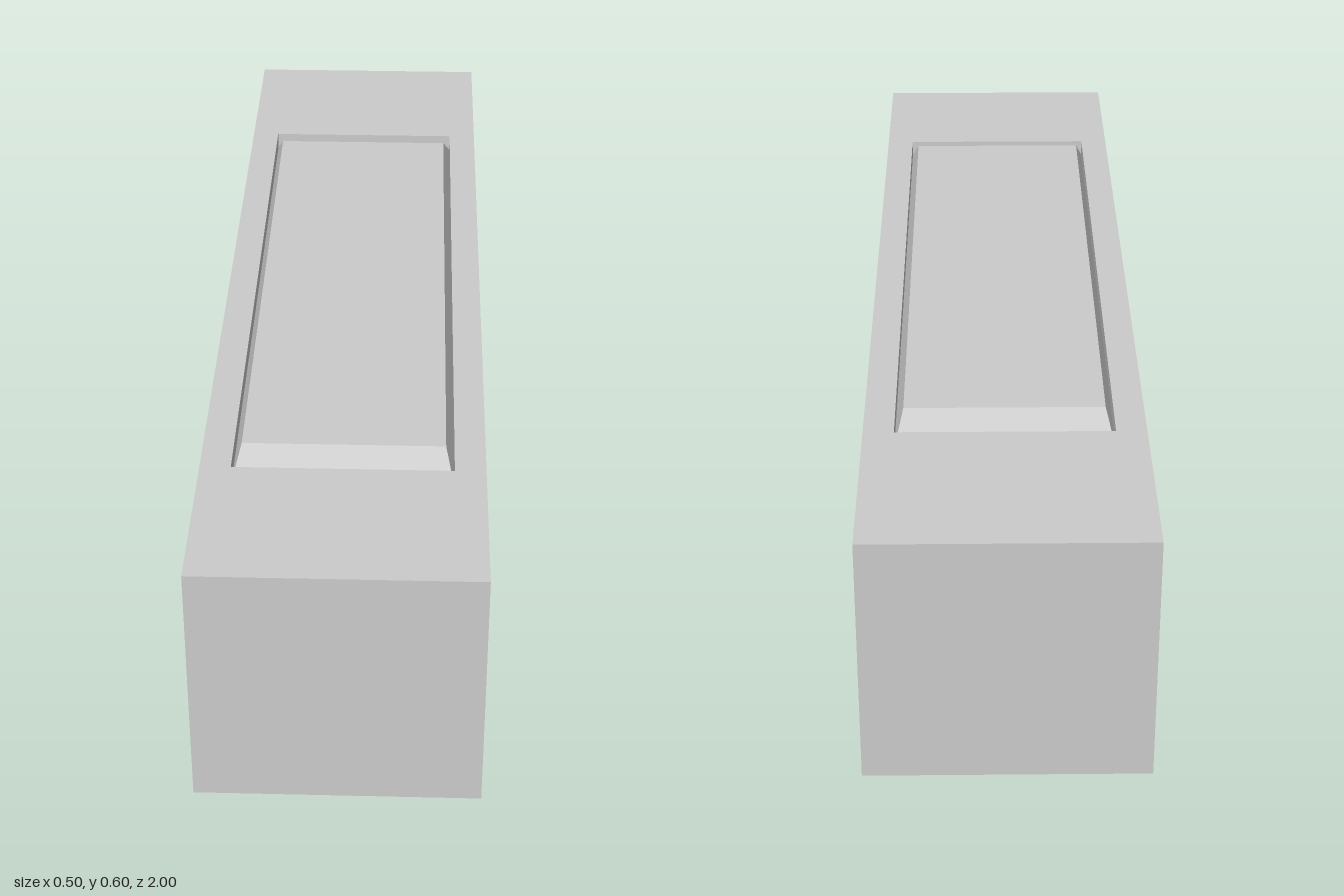
import * as THREE from 'three';

const material = new THREE.MeshStandardMaterial({ color: 0xcccccc, flatShading: true, side: THREE.DoubleSide });

// Body extents, wheel and well sizes
const HALF_W = 0.25, BOTTOM = 0.115, TOP = 0.588, HALF_L = 1;
const WHEEL_R = 0.112, WELL_R = 0.116, WELL_X = 0.16;
const AXLES = [0.644, -0.65];
// Roof recess
const RECESS = { halfW: 0.195, back: -0.643, front: 0.688, floor: 0.555 };

function add(parent, name, geometry, x = 0, y = 0, z = 0) {
  const mesh = new THREE.Mesh(geometry, material);
  mesh.name = name;
  mesh.position.set(x, y, z);
  parent.add(mesh);
  return mesh;
}

// Box that keeps only some faces (order: +x, -x, +y, -y, +z, -z)
function partialBox(w, h, d, keep) {
  const geometry = new THREE.BoxGeometry(w, h, d);
  const index = Array.from(geometry.index.array);
  geometry.setIndex(keep.flatMap((f) => index.slice(f * 6, f * 6 + 6)));
  geometry.clearGroups();
  return geometry;
}

// Side wall outline in (z, y) with an arch over each wheel
function sideWall() {
  const shape = new THREE.Shape();
  shape.moveTo(HALF_L, TOP);
  shape.lineTo(HALF_L, BOTTOM);
  for (const z of AXLES) {
    for (let i = 0; i <= 6; i++) {
      const a = (i * Math.PI) / 6;
      shape.lineTo(z + WELL_R * Math.cos(a), BOTTOM + WELL_R * Math.sin(a));
    }
  }
  shape.lineTo(-HALF_L, BOTTOM);
  shape.lineTo(-HALF_L, TOP);
  return new THREE.ShapeGeometry(shape).rotateY(-Math.PI / 2);
}

// Underside outline in (x, z) with a notch at each wheel
function underside() {
  const shape = new THREE.Shape();
  shape.moveTo(-HALF_W, HALF_L);
  for (const s of [1, -1]) {
    shape.lineTo(s * HALF_W, s * HALF_L);
    for (const z of s > 0 ? AXLES : [...AXLES].reverse()) {
      shape.lineTo(s * HALF_W, z + s * WELL_R);
      shape.lineTo(s * WELL_X, z + s * WELL_R);
      shape.lineTo(s * WELL_X, z - s * WELL_R);
      shape.lineTo(s * HALF_W, z - s * WELL_R);
    }
    shape.lineTo(s * HALF_W, -s * HALF_L);
  }
  return new THREE.ShapeGeometry(shape).rotateX(Math.PI / 2);
}

// Roof sheet with the rectangular recess opening
function roof() {
  const rect = (path, w, z0, z1) =>
    path.moveTo(-w, z0).lineTo(w, z0).lineTo(w, z1).lineTo(-w, z1).closePath();
  const shape = rect(new THREE.Shape(), HALF_W, -HALF_L, HALF_L);
  shape.holes.push(rect(new THREE.Path(), RECESS.halfW, RECESS.back, RECESS.front));
  return new THREE.ShapeGeometry(shape).rotateX(Math.PI / 2);
}

// Raised roof panel with sloping edges that run down into the recess
function roofPanel() {
  const height = 0.601 - RECESS.floor;
  const geometry = new THREE.BoxGeometry(1, height, 1);
  const p = geometry.attributes.position;
  for (let i = 0; i < p.count; i++) {
    const up = p.getY(i) > 0;
    const front = p.getZ(i) > 0;
    p.setX(i, Math.sign(p.getX(i)) * (up ? 0.18 : RECESS.halfW));
    p.setZ(i, up ? (front ? 0.632 : -0.58) : front ? RECESS.front : RECESS.back);
  }
  geometry.computeVertexNormals();
  return geometry.translate(0, RECESS.floor + height / 2, 0);
}

export function createModel() {
  const model = new THREE.Group();
  model.name = 'bus';

  // Body shell
  const body = new THREE.Group();
  body.name = 'body';
  model.add(body);
  const midY = (TOP + BOTTOM) / 2;
  add(body, 'endWalls', partialBox(2 * HALF_W, TOP - BOTTOM, 2 * HALF_L, [4, 5]), 0, midY, 0);
  add(body, 'underside', underside(), 0, BOTTOM, 0);
  add(body, 'roof', roof(), 0, TOP, 0);

  // Roof recess walls and the panel inside it
  const depth = TOP - RECESS.floor;
  const recess = partialBox(2 * RECESS.halfW, depth, RECESS.front - RECESS.back, [0, 1, 3, 4, 5]);
  add(body, 'roofRecess', recess, 0, RECESS.floor + depth / 2, (RECESS.front + RECESS.back) / 2);
  add(body, 'roofPanel', roofPanel());

  // Sides, wheel wells and wheels
  const wellDepth = HALF_W - WELL_X;
  const arch = new THREE.CylinderGeometry(WELL_R, WELL_R, wellDepth, 6, 1, true, 0, Math.PI).rotateZ(Math.PI / 2);
  const wellWall = new THREE.CircleGeometry(WELL_R, 6, 0, Math.PI).rotateY(-Math.PI / 2);
  const wheel = new THREE.CylinderGeometry(WHEEL_R, WHEEL_R, 0.055, 12).rotateZ(Math.PI / 2);
  for (const s of [1, -1]) {
    const side = s > 0 ? 'left' : 'right';
    add(body, `${side}Wall`, sideWall(), s * HALF_W, 0, 0);
    AXLES.forEach((z, i) => {
      const end = i === 0 ? 'Front' : 'Rear';
      add(body, `${side}${end}WheelArch`, arch, s * (WELL_X + wellDepth / 2), BOTTOM, z);
      add(body, `${side}${end}WellWall`, wellWall, s * WELL_X, BOTTOM, z);
      add(model, `${side}${end}Wheel`, wheel, s * 0.217, WHEEL_R, z);
    });
  }
  return model;
}
